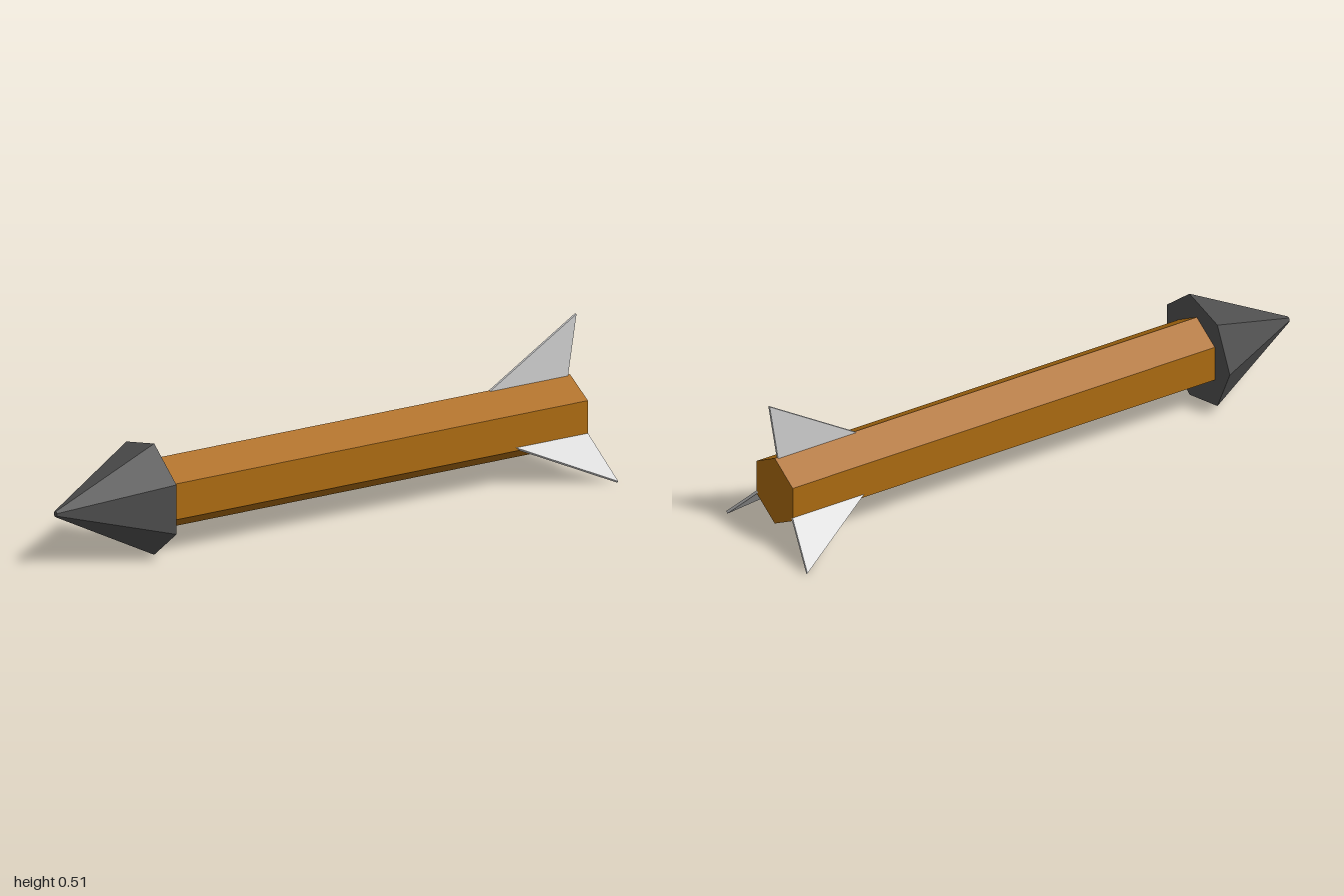
import * as THREE from 'three';

const AXIS_Y = 0.187; // height of the shaft's centre line

function material(color) {
  return new THREE.MeshStandardMaterial({ color, flatShading: true });
}

// Prism or cone lying along x, from x0 (front, radius r0) to x1 (rear, radius r1)
function alongX(name, x0, x1, r0, r1, sides, start, mat) {
  const geo = new THREE.CylinderGeometry(r0, r1, x1 - x0, sides, 1, false, start);
  geo.rotateZ(Math.PI / 2);
  const mesh = new THREE.Mesh(geo, mat);
  mesh.name = name;
  mesh.position.set((x0 + x1) / 2, AXIS_Y, 0);
  return mesh;
}

// Thin swept fin whose outer tip is the local origin; its root is buried in the shaft
function finGeometry() {
  const depth = 0.25, thickness = 0.009;
  const shape = new THREE.Shape();
  shape.moveTo(0, 0);
  shape.lineTo(-1.64 * depth, -depth);
  shape.lineTo(-0.16 * depth, -depth);
  shape.closePath();
  const geo = new THREE.ExtrudeGeometry(shape, { depth: thickness, bevelEnabled: false });
  return geo.translate(0, 0, -thickness / 2);
}

export function createModel() {
  const group = new THREE.Group();
  group.name = 'arrow';

  // Hexagonal wooden shaft
  group.add(alongX('shaft', -0.65, 0.97, 0.121, 0.121, 6, Math.PI / 2, material(0xaa6a10)));

  // Seven-sided head with a slightly blunted tip
  group.add(alongX('arrowHead', -1, -0.65, 0.01, 0.192, 7, Math.PI, material(0x505050)));

  // One upright fin and two lower ones splayed at 45 degrees
  const finMat = material(0xcccccc);
  const geo = finGeometry();
  const fins = [
    ['topFin', 0.992, 0.508, 0, 0],
    ['frontFin', 1, 0.003, 0.233, Math.PI * 0.75],
    ['backFin', 1, 0.003, -0.233, -Math.PI * 0.75],
  ];
  for (const [name, x, y, z, angle] of fins) {
    const fin = new THREE.Mesh(geo, finMat);
    fin.name = name;
    fin.position.set(x, y, z);
    fin.rotation.x = angle;
    group.add(fin);
  }
  return group;
}
